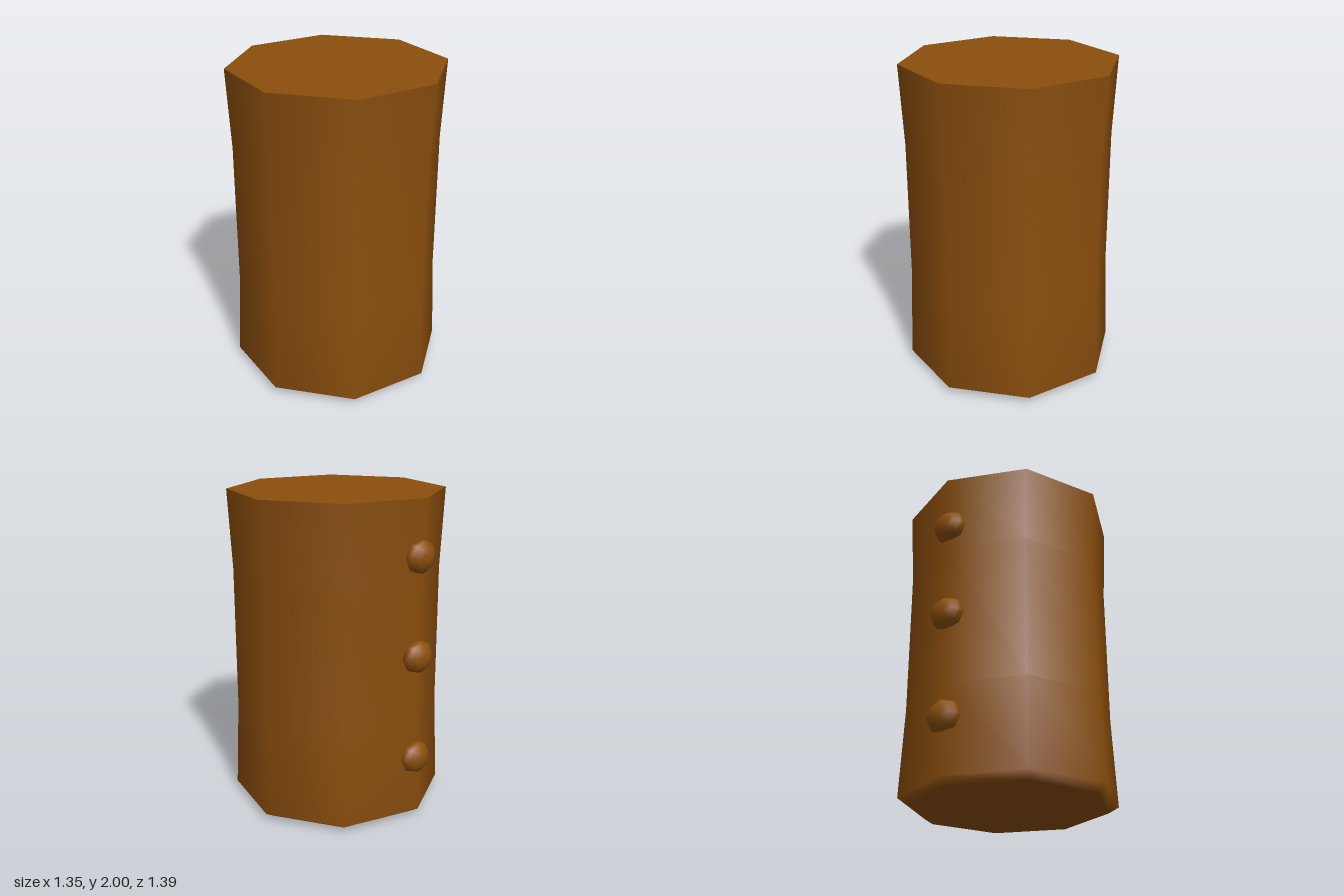
import * as THREE from 'three';

const SIDES = 8;
const CENTRE_Z = 0.02;

export function createModel() {
  const model = new THREE.Group();
  model.name = 'studdedPost';

  const brown = new THREE.MeshStandardMaterial({ color: 0x8b4e0d });
  brown.name = 'brown';

  const add = (name, geometry, x, y, z) => {
    const mesh = new THREE.Mesh(geometry, brown);
    mesh.name = name;
    mesh.position.set(x, y, z);
    model.add(mesh);
    return mesh;
  };

  // Smooth eight-sided body: chamfered foot, slim waist, flared top
  const profile = [
    [0, 0], [0.61, 0], [0.675, 0.04], [0.65, 0.6], [0.65, 1.5], [0.675, 2],
  ].map(([r, y]) => new THREE.Vector2(r, y));
  add('body', new THREE.LatheGeometry(profile, SIDES), 0, 0, CENTRE_Z);

  // Flat top with a sharp rim
  const top = new THREE.CircleGeometry(0.675, SIDES).rotateX(-Math.PI / 2);
  add('topFace', top, 0, 2, CENTRE_Z);

  // Three squashed studs down the back edge
  const studShape = new THREE.SphereGeometry(1, 8, 8)
    .rotateX(Math.PI / 2)
    .scale(0.112, 0.105, 0.08);
  [1.66, 1.05, 0.395].forEach((y, i) => add(`backStud${i + 1}`, studShape, 0, y, -0.617));

  return model;
}
